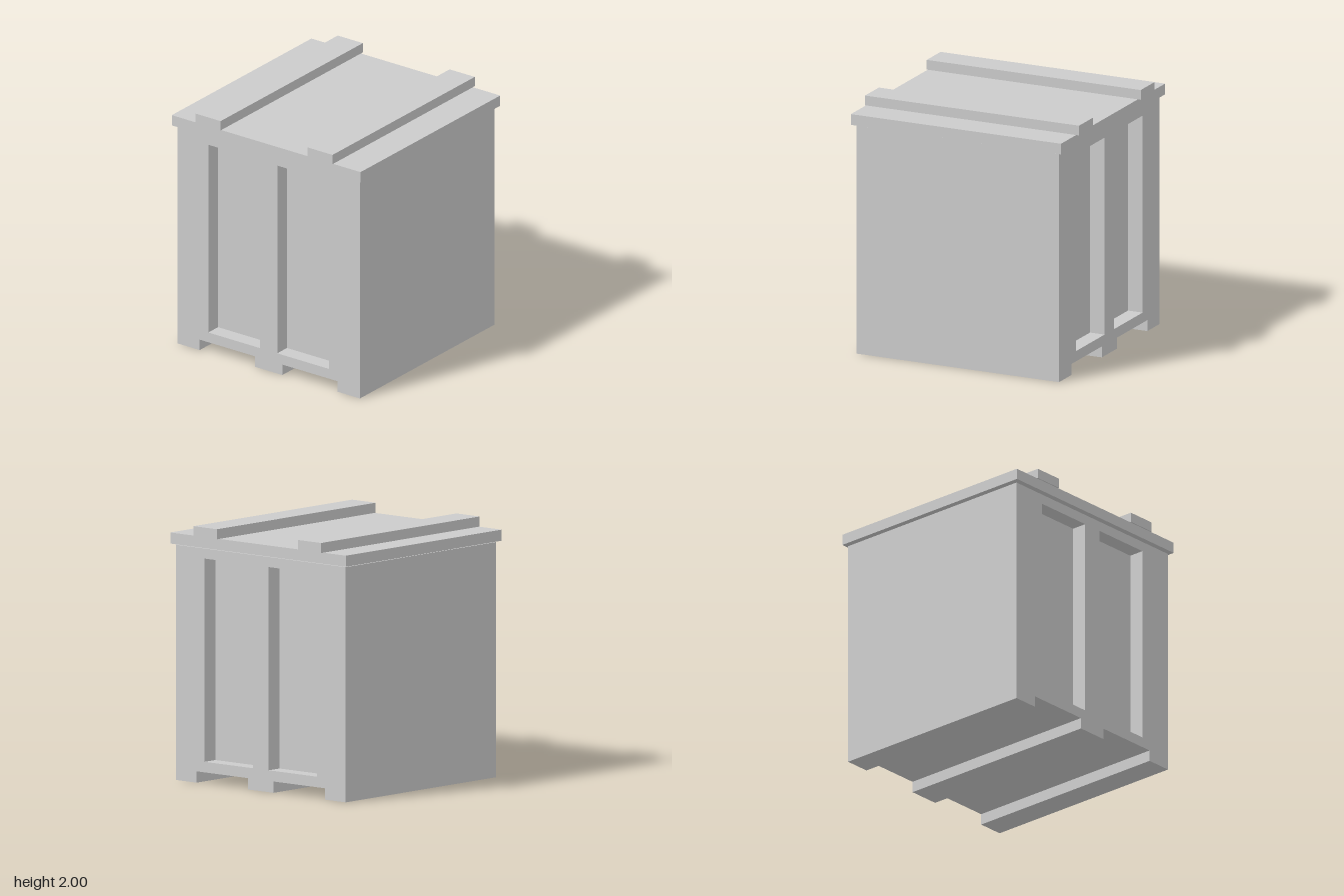
import * as THREE from 'three';

export function createModel() {
  const crate = new THREE.Group();
  crate.name = 'crate';
  const material = new THREE.MeshStandardMaterial({ color: 0xcccccc, flatShading: true });

  const add = (name, geometry) => {
    const mesh = new THREE.Mesh(geometry, material);
    mesh.name = name;
    crate.add(mesh);
  };

  // Box given by its extents along each axis
  const addBox = (name, [x0, x1], [y0, y1], [z0, z1]) => {
    const geometry = new THREE.BoxGeometry(x1 - x0, y1 - y0, z1 - z0);
    geometry.translate((x0 + x1) / 2, (y0 + y1) / 2, (z0 + z1) / 2);
    add(name, geometry);
  };

  const bodyX = [-0.878, 0.858];
  const panelY = [0.17, 1.748];
  const panelZ = [[0.082, 0.577], [-0.577, -0.081]];
  const recess = 0.125;

  // Body: side profile with three runners along the bottom, and panel openings
  const profile = new THREE.Shape([
    [-0.872, 0], [-0.66, 0], [-0.66, 0.088], [-0.13, 0.088], [-0.13, 0],
    [0.13, 0], [0.13, 0.088], [0.66, 0.088], [0.66, 0], [0.872, 0],
    [0.872, 1.826], [-0.872, 1.826],
  ].map(([u, v]) => new THREE.Vector2(u, v)));
  for (const [z0, z1] of panelZ) {
    const [y0, y1] = panelY;
    profile.holes.push(new THREE.Path([
      new THREE.Vector2(-z0, y0), new THREE.Vector2(-z0, y1),
      new THREE.Vector2(-z1, y1), new THREE.Vector2(-z1, y0),
    ]));
  }
  const body = new THREE.ExtrudeGeometry(profile, { depth: bodyX[1] - bodyX[0], bevelEnabled: false });
  body.rotateY(Math.PI / 2);
  body.translate(bodyX[0], 0, 0);
  add('body', body);

  // Infill set back from both sides, leaving the recessed panels
  for (const z of panelZ) {
    addBox('recessedPanel', [bodyX[0] + recess, bodyX[1] - recess], panelY, z);
  }

  // Lid, just clear of the body, with two battens across it
  addBox('lid', [-0.91, 0.89], [1.836, 1.922], [-0.903, 0.902]);
  for (const z of [[0.4, 0.64], [-0.67, -0.43]]) {
    addBox('lidBatten', [-0.918, 0.915], [1.922, 2], z);
  }

  return crate;
}
